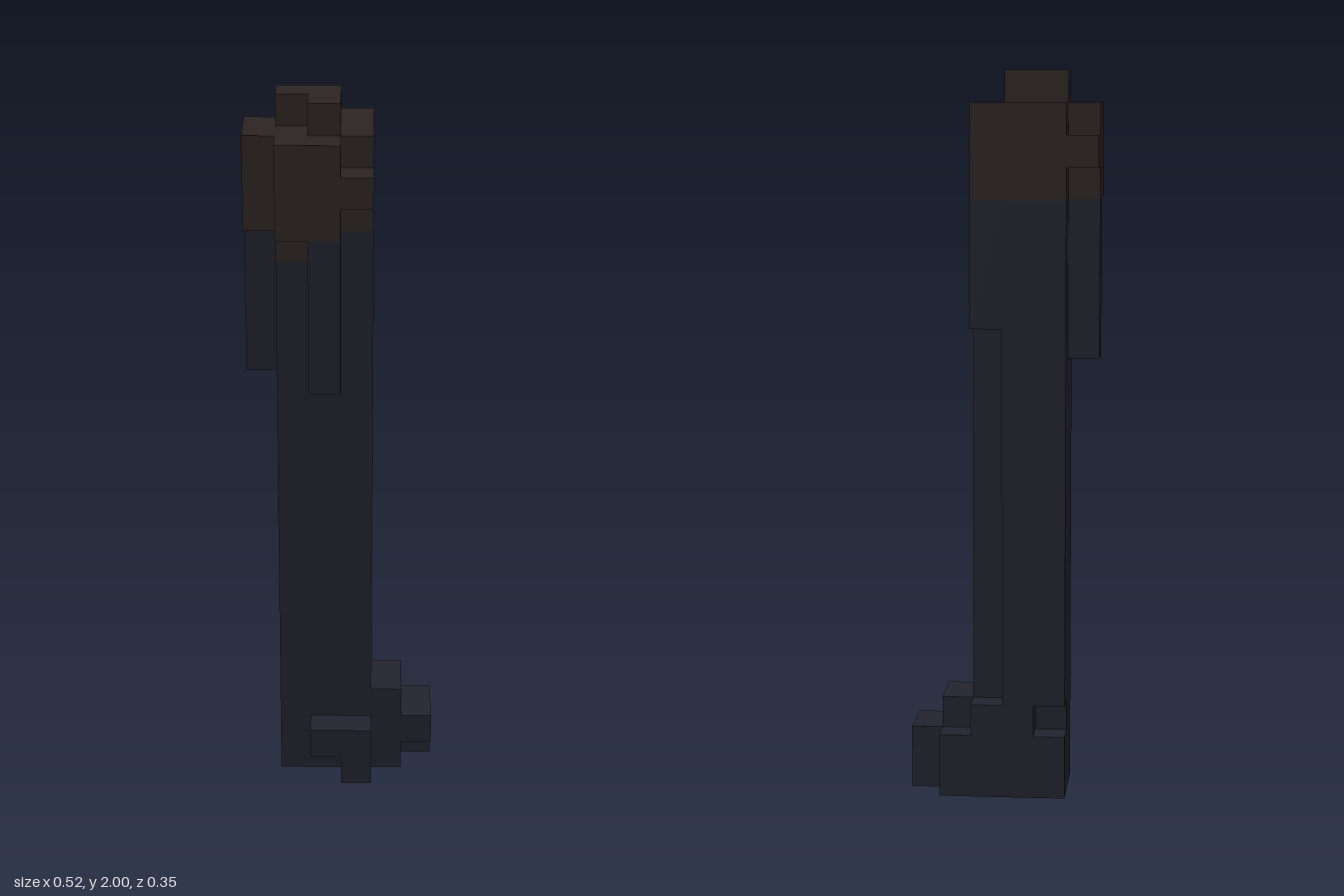
import * as THREE from 'three';

const U = 2 / 23; // edge of one block

export function createModel() {
  const model = new THREE.Group();
  model.name = 'blockPost';
  const navy = new THREE.MeshStandardMaterial({ color: 0x22232d });
  navy.name = 'dark navy';
  const brown = new THREE.MeshStandardMaterial({ color: 0x2d2423 });
  brown.name = 'dark brown';

  // Each box spans block coordinates x0..x1, y0..y1, z0..z1 on a 6 x 23 x 4 lattice
  function addPart(name, material, boxes) {
    const part = new THREE.Group();
    part.name = name;
    boxes.forEach(([x0, x1, y0, y1, z0, z1], i) => {
      const mesh = new THREE.Mesh(
        new THREE.BoxGeometry((x1 - x0) * U, (y1 - y0) * U, (z1 - z0) * U), material);
      mesh.position.set(((x0 + x1) / 2 - 3) * U, ((y0 + y1) / 2) * U, ((z0 + z1) / 2 - 2) * U);
      mesh.name = `${name}${i + 1}`;
      part.add(mesh);
    });
    model.add(part);
  }

  // Main column, with its back left corner cut away lower down
  addPart('shaft', navy, [
    [1, 4, 0, 18, 1, 3],
    [1, 4, 18, 19, 1, 2],
    [2, 4, 18, 19, 2, 3],
    [1, 3, 3, 19, 0, 1],
    [3, 4, 15, 19, 0, 1],
  ]);
  // Ribs hanging below the cap
  addPart('frontRib', navy, [[2, 3, 14, 19, 3, 4]]);
  addPart('sideRib', navy, [[0, 1, 14, 19, 1, 2]]);

  // Base behind the column, with a notch in one corner
  addPart('backBase', navy, [
    [1, 4, 0, 2, 0, 1],
    [2, 4, 2, 3, 0, 1],
  ]);
  // Stepped foot to the side
  addPart('sideFoot', navy, [
    [4, 5, 0, 3, 1, 3],
    [4, 5, 0, 2, 0, 1],
    [5, 6, 0, 2, 1, 2],
    [5, 6, 1, 2, 2, 3],
  ]);
  addPart('frontFoot', navy, [
    [3, 4, 0, 2, 3, 4],
    [2, 3, 1, 2, 3, 4],
  ]);

  // Cap with single blocks on two opposite corners
  addPart('cap', brown, [
    [1, 4, 19, 22, 0, 3],
    [0, 1, 19, 22, 1, 3],
    [1, 3, 19, 22, 3, 4],
  ]);
  addPart('cornerBlock', brown, [
    [3, 4, 20, 21, 3, 4],
    [0, 1, 20, 21, 0, 1],
  ]);
  addPart('capDrip', brown, [[1, 2, 18, 19, 2, 3]]);
  // L-shaped knob on top
  addPart('topKnob', brown, [
    [1, 3, 22, 23, 1, 2],
    [2, 3, 22, 23, 2, 3],
  ]);

  return model;
}
